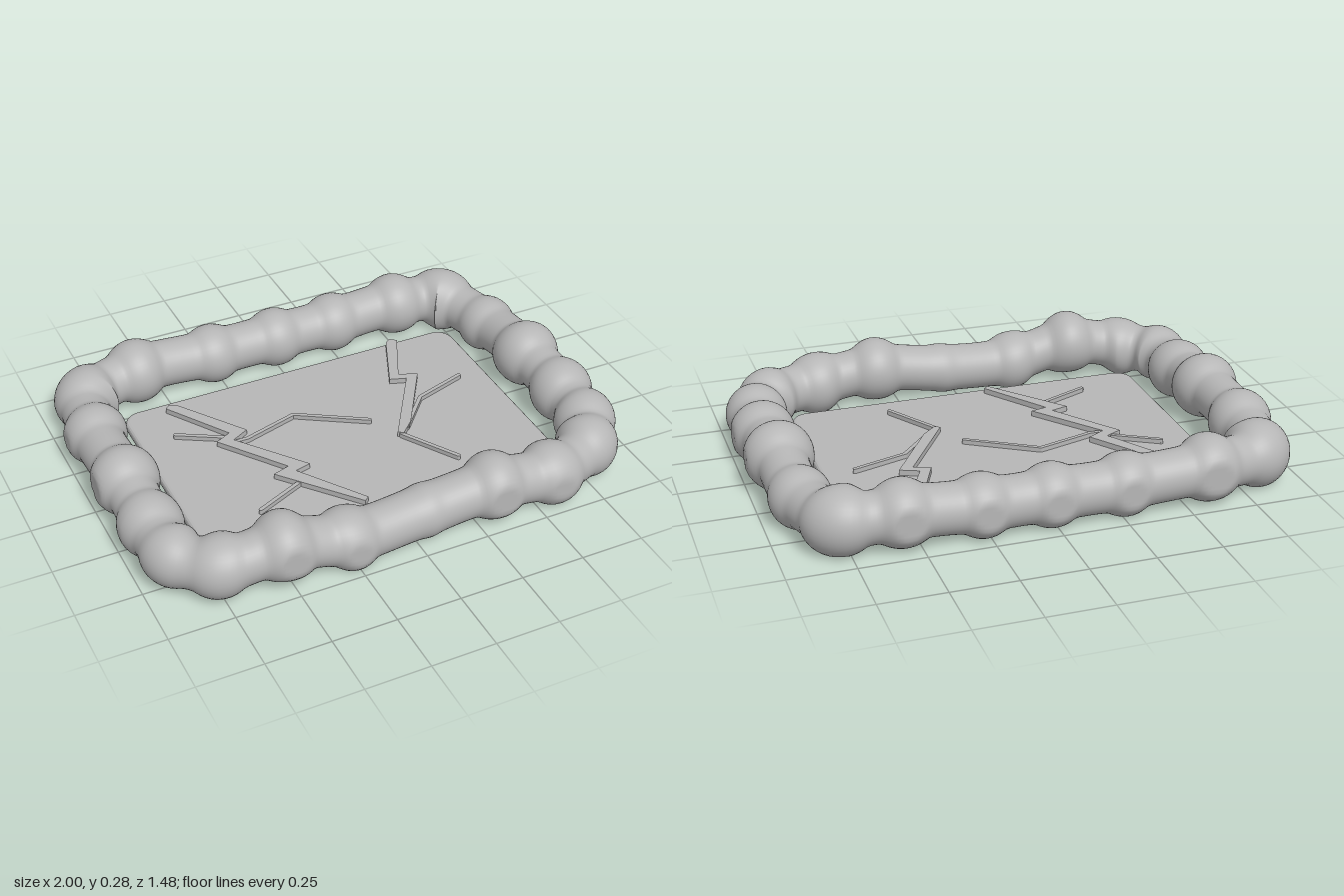
import * as THREE from 'three';

const stone = new THREE.MeshStandardMaterial({ color: 0xb6b6b6 });
stone.name = 'grey stone';

// Boulders around the rim: x, z, centre height, radius
const boulders = [
  [-0.60, -0.63, 0.125, 0.128], [-0.27, -0.635, 0.11, 0.12], [0.01, -0.635, 0.11, 0.12],
  [0.27, -0.635, 0.11, 0.12], [0.56, -0.63, 0.125, 0.126], [0.77, -0.59, 0.11, 0.13],
  [0.86, -0.36, 0.10, 0.115], [0.875, -0.06, 0.13, 0.132], [0.885, 0.20, 0.11, 0.125],
  [0.87, 0.40, 0.10, 0.12], [0.79, 0.54, 0.10, 0.12], [0.58, 0.625, 0.10, 0.125],
  [0.33, 0.63, 0.13, 0.128], [0.05, 0.62, 0.10, 0.10], [-0.26, 0.63, 0.09, 0.122],
  [-0.51, 0.625, 0.145, 0.13], [-0.74, 0.59, 0.11, 0.12], [-0.865, 0.47, 0.11, 0.115],
  [-0.88, 0.28, 0.11, 0.122], [-0.885, 0.03, 0.138, 0.13], [-0.885, -0.30, 0.125, 0.122],
  [-0.83, -0.55, 0.11, 0.13],
];

// Tube swelling at every boulder, trimmed flat on the ground and outer limits
function boulderRim() {
  const path = new THREE.CatmullRomCurve3(
    boulders.map(([x, z, y]) => new THREE.Vector3(x, y, z)), true, 'centripetal');
  const rings = 420, sides = 40, neck = 0.095, soft = 0.008;
  const positions = [], index = [];
  for (let i = 0; i < rings; i++) {
    const p = path.getPointAt(i / rings);
    const t = path.getTangentAt(i / rings);
    const side = new THREE.Vector3(t.z, 0, -t.x).normalize();
    let radius = neck;
    for (const [x, z, y, r] of boulders) {
      const d2 = (p.x - x) ** 2 + (p.y - y) ** 2 + (p.z - z) ** 2;
      const ball = Math.sqrt(Math.max(r * r - d2, 0));
      const diff = radius - ball;
      radius = (radius + ball + Math.sqrt(diff * diff + soft * soft)) / 2;
      if (ball === 0) radius = diff;
    }
    for (let j = 0; j < sides; j++) {
      const a = (j / sides) * Math.PI * 2;
      const out = Math.cos(a) * radius;
      positions.push(
        THREE.MathUtils.clamp(p.x + side.x * out, -1, 1),
        Math.max(p.y + Math.sin(a) * radius, 0),
        THREE.MathUtils.clamp(p.z + side.z * out, -0.742, 0.742));
      const k = (j + 1) % sides, n = (i + 1) % rings;
      const a0 = i * sides + j, a1 = i * sides + k, b0 = n * sides + j, b1 = n * sides + k;
      index.push(a0, a1, b0, a1, b1, b0);
    }
  }
  const geometry = new THREE.BufferGeometry();
  geometry.setAttribute('position', new THREE.Float32BufferAttribute(positions, 3));
  geometry.setIndex(index);
  geometry.computeVertexNormals();
  return geometry;
}

// Rounded slab with a small bevel, lying on the ground
function slab(width, depth, corner, height, bevel) {
  const w = width / 2 - bevel, d = depth / 2 - bevel, r = corner - bevel;
  const s = new THREE.Shape();
  s.absarc(w - r, d - r, r, 0, Math.PI / 2);
  s.absarc(-w + r, d - r, r, Math.PI / 2, Math.PI);
  s.absarc(-w + r, -d + r, r, Math.PI, Math.PI * 1.5);
  s.absarc(w - r, -d + r, r, Math.PI * 1.5, Math.PI * 2);
  return new THREE.ExtrudeGeometry(s, {
    depth: height - 2 * bevel, bevelSize: bevel, bevelThickness: bevel, bevelSegments: 3, curveSegments: 8,
  }).rotateX(-Math.PI / 2).translate(0, bevel, 0);
}

const SLAB_TOP = 0.045, RIDGE = 0.022;

// Raised zigzag given by its outline in x, z
function zigzag(points) {
  const shape = new THREE.Shape(points.map(([x, z]) => new THREE.Vector2(x, -z)));
  return new THREE.ExtrudeGeometry(shape, { depth: RIDGE + 0.01, bevelEnabled: false })
    .rotateX(-Math.PI / 2).translate(0, SLAB_TOP - 0.01, 0);
}

// Thin raised branch following a polyline in x, z
function branch(points) {
  const group = new THREE.Group();
  const height = RIDGE - 0.004;
  for (let i = 0; i < points.length; i++) {
    const [x, z] = points[i];
    const joint = new THREE.Mesh(new THREE.CylinderGeometry(0.008, 0.008, height, 10), stone);
    joint.position.set(x, SLAB_TOP + height / 2, z);
    group.add(joint);
    if (i === 0) continue;
    const [px, pz] = points[i - 1];
    const bar = new THREE.Mesh(
      new THREE.BoxGeometry(Math.hypot(x - px, z - pz), height, 0.016), stone);
    bar.position.set((x + px) / 2, SLAB_TOP + height / 2, (z + pz) / 2);
    bar.rotation.y = -Math.atan2(z - pz, x - px);
    group.add(bar);
  }
  return group;
}

export function createModel() {
  const model = new THREE.Group();
  model.name = 'boulderFrame';
  const add = (name, geometry) => {
    const mesh = new THREE.Mesh(geometry, stone);
    mesh.name = name;
    model.add(mesh);
  };

  add('boulderRim', boulderRim());
  add('floorSlab', slab(1.455, 0.945, 0.07, SLAB_TOP, 0.015));

  add('leftCrack', zigzag([
    [-0.56, -0.41], [-0.54, -0.428], [-0.513, -0.415], [-0.325, -0.145], [-0.395, -0.107],
    [-0.192, 0.155], [-0.257, 0.171], [-0.08, 0.428], [-0.1, 0.445], [-0.342, 0.155],
    [-0.273, 0.134], [-0.46, -0.123], [-0.395, -0.155],
  ]));
  add('rightCrack', zigzag([
    [0.436, -0.45], [0.462, -0.468], [0.486, -0.447], [0.38, -0.225], [0.452, -0.195],
    [0.278, 0.08], [0.22, 0.135], [0.198, 0.123], [0.395, -0.185], [0.33, -0.207],
  ]));

  const branches = [
    [[-0.585, -0.24], [-0.42, -0.145]],
    [[-0.395, -0.1], [-0.34, -0.1], [-0.118, -0.165], [0.14, -0.005]],
    [[-0.275, 0.235], [-0.467, 0.32]],
    [[0.212, 0.13], [0.345, 0.347]],
    [[0.255, 0.095], [0.39, -0.055], [0.603, -0.122]],
  ];
  branches.forEach((points, i) => {
    const b = branch(points);
    b.name = 'crackBranch' + (i + 1);
    model.add(b);
  });
  return model;
}
